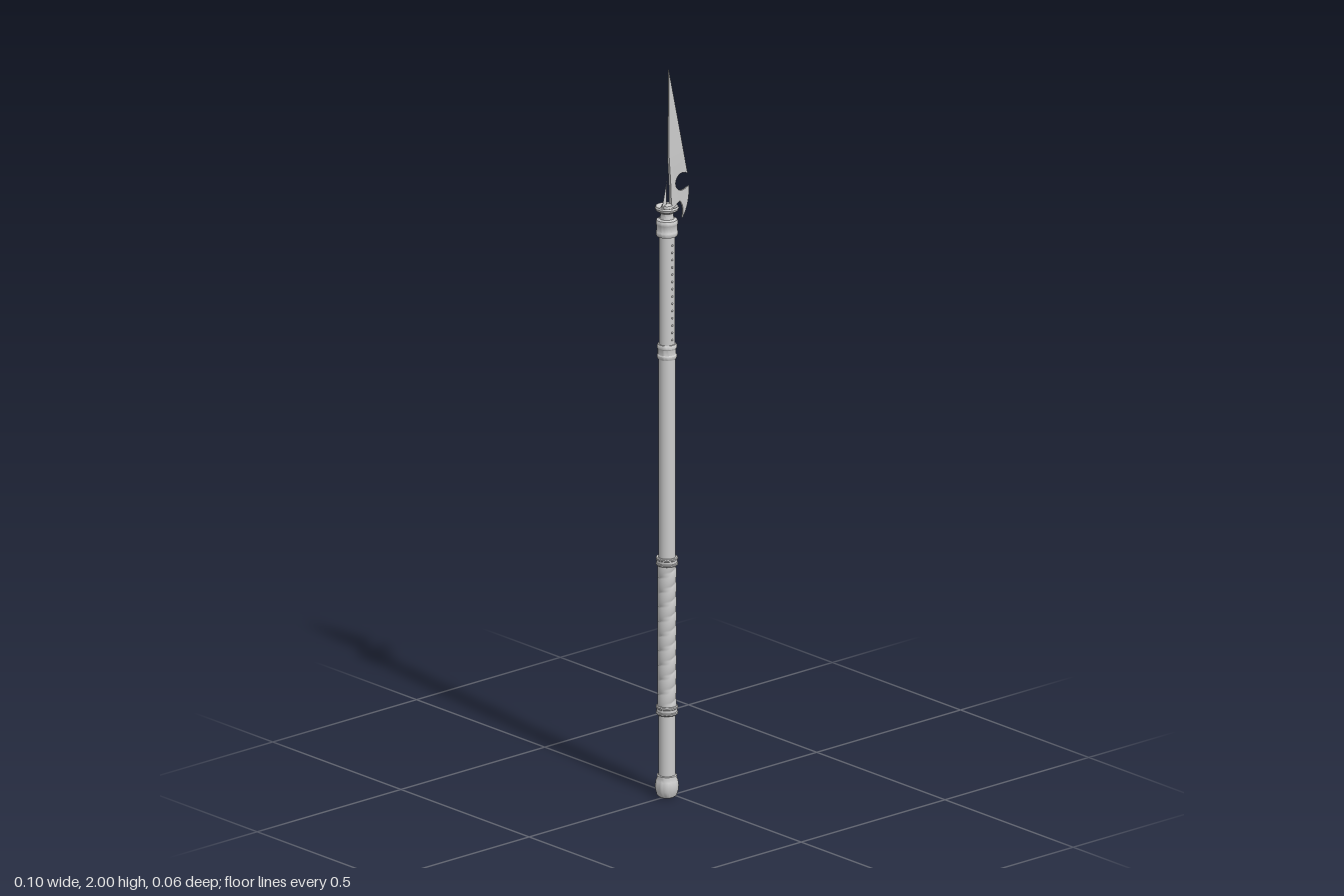
import * as THREE from 'three';
import { toCreasedNormals } from 'three/addons/utils/BufferGeometryUtils.js';

const AXIS_X = -0.021; // the shaft sits left of centre, the blade hooks out to +x
const material = new THREE.MeshStandardMaterial({ color: 0xcccccc, side: THREE.DoubleSide });

function add(parent, name, geometry) {
  const mesh = new THREE.Mesh(geometry, material);
  mesh.name = name;
  parent.add(mesh);
  return mesh;
}

// Turned part from [radius, y] pairs, bottom to top
function turned(parent, name, profile) {
  const lathe = new THREE.LatheGeometry(profile.map(([r, y]) => new THREE.Vector2(r, y)), 32);
  return add(parent, name, toCreasedNormals(lathe, 0.6));
}

// Collar with a raised lip at both ends
function collar(parent, name, y0, y1, r) {
  const lip = (y1 - y0) * 0.25;
  turned(parent, name, [
    [0.02, y0], [r - 0.002, y0], [r, y0 + lip * 0.4], [r, y0 + lip], [r - 0.002, y0 + lip * 1.3],
    [r - 0.002, y1 - lip * 1.3], [r, y1 - lip], [r, y1 - lip * 0.4], [r - 0.002, y1], [0.02, y1],
  ]);
}

// Cord grip: a cylinder whose radius follows an overlapping two-strand spiral
function gripGeometry(y0, y1) {
  const g = new THREE.CylinderGeometry(1, 1, y1 - y0, 40, 150, true);
  const p = g.attributes.position;
  for (let i = 0; i < p.count; i++) {
    const y = p.getY(i), a = Math.atan2(p.getZ(i), p.getX(i));
    const strand = Math.abs(Math.sin(Math.PI * y / 0.04 + a));
    const cross = Math.abs(Math.sin(Math.PI * y / 0.04 - a));
    const r = 0.0215 + 0.0035 * Math.max(Math.sqrt(strand), 0.75 * cross);
    p.setX(i, Math.cos(a) * r);
    p.setZ(i, Math.sin(a) * r);
  }
  g.translate(0, (y0 + y1) / 2, 0);
  g.computeVertexNormals();
  return g;
}

// Blade plate, thick along the spine and thin at the cutting edge and tip
function bladeGeometry() {
  const s = new THREE.Shape();
  s.moveTo(-0.013, 1.615);
  s.lineTo(-0.016, 1.69);
  s.lineTo(-0.021, 1.76);
  s.lineTo(-0.021, 2.0);
  s.quadraticCurveTo(0.012, 1.85, 0.045, 1.7);
  s.lineTo(0.036, 1.705);
  s.absarc(0.026, 1.682, 0.024, 1.15, 5.35, false); // round notch
  s.lineTo(0.05, 1.665);
  s.quadraticCurveTo(0.052, 1.615, 0.027, 1.582); // hook point
  s.quadraticCurveTo(0.034, 1.612, 0.018, 1.63);
  s.quadraticCurveTo(0.006, 1.628, 0.0, 1.615);
  s.closePath();
  const g = new THREE.ExtrudeGeometry(s, { depth: 1, bevelEnabled: false, curveSegments: 14 });
  const p = g.attributes.position;
  for (let i = 0; i < p.count; i++) {
    const x = p.getX(i), y = p.getY(i);
    const up = THREE.MathUtils.clamp((y - 1.62) / 0.38, 0, 1);
    const out = THREE.MathUtils.clamp((x - AXIS_X) / 0.073, 0, 1);
    const thickness = 0.009 * (1 - 0.85 * up) * (1 - 0.8 * out) + 0.0008;
    const middle = 0.005 + 0.001 * up;
    p.setZ(i, middle + (p.getZ(i) - 0.5) * thickness);
  }
  return toCreasedNormals(g, 0.4);
}

export function createModel() {
  const model = new THREE.Group();
  model.name = 'spear';
  const pole = new THREE.Group();
  pole.name = 'pole';
  pole.position.x = AXIS_X;
  model.add(pole);

  // Butt cap
  turned(pole, 'buttCap', [
    [0, 0], [0.02, 0.001], [0.026, 0.006], [0.03, 0.02], [0.031, 0.032],
    [0.029, 0.046], [0.026, 0.052], [0.026, 0.06], [0.02, 0.062],
  ]);

  // Shaft sections
  const sections = [['lowerShaft', 0.05, 0.235, 0.022], ['middleShaft', 0.65, 1.22, 0.0225], ['upperShaft', 1.23, 1.57, 0.021]];
  for (const [name, y0, y1, r] of sections) {
    const shaft = new THREE.CylinderGeometry(r, r, y1 - y0, 32, 1, true);
    add(pole, name, shaft).position.y = (y0 + y1) / 2;
  }
  add(pole, 'grip', gripGeometry(0.24, 0.65));

  // Collars
  collar(pole, 'lowerGripCollar', 0.228, 0.252, 0.029);
  collar(pole, 'upperGripCollar', 0.638, 0.66, 0.029);
  collar(pole, 'middleCollar', 1.205, 1.246, 0.026);
  collar(pole, 'topCollar', 1.543, 1.587, 0.029);

  // Stud rows along the front and back of the upper shaft
  const stud = new THREE.SphereGeometry(0.003, 8, 6);
  for (const side of [-1, 1]) {
    for (let y = 1.26; y < 1.54; y += 0.02) {
      add(pole, 'stud', stud).position.set(0, y, side * 0.0205);
    }
  }

  // Neck and dished flange under the blade
  turned(pole, 'neck', [
    [0.026, 1.586], [0.019, 1.59], [0.017, 1.598], [0.018, 1.606], [0.029, 1.613],
    [0.031, 1.619], [0.029, 1.624], [0.018, 1.618], [0.015, 1.619], [0.014, 1.626], [0.009, 1.629], [0, 1.629],
  ]);

  // Blade and the small spike behind it
  add(model, 'blade', bladeGeometry());
  const spike = add(model, 'backSpike', new THREE.ConeGeometry(0.008, 0.075, 8));
  spike.position.set(-0.026, 1.655, 0);
  spike.rotation.z = -0.12;
  spike.scale.z = 0.5;
  return model;
}
